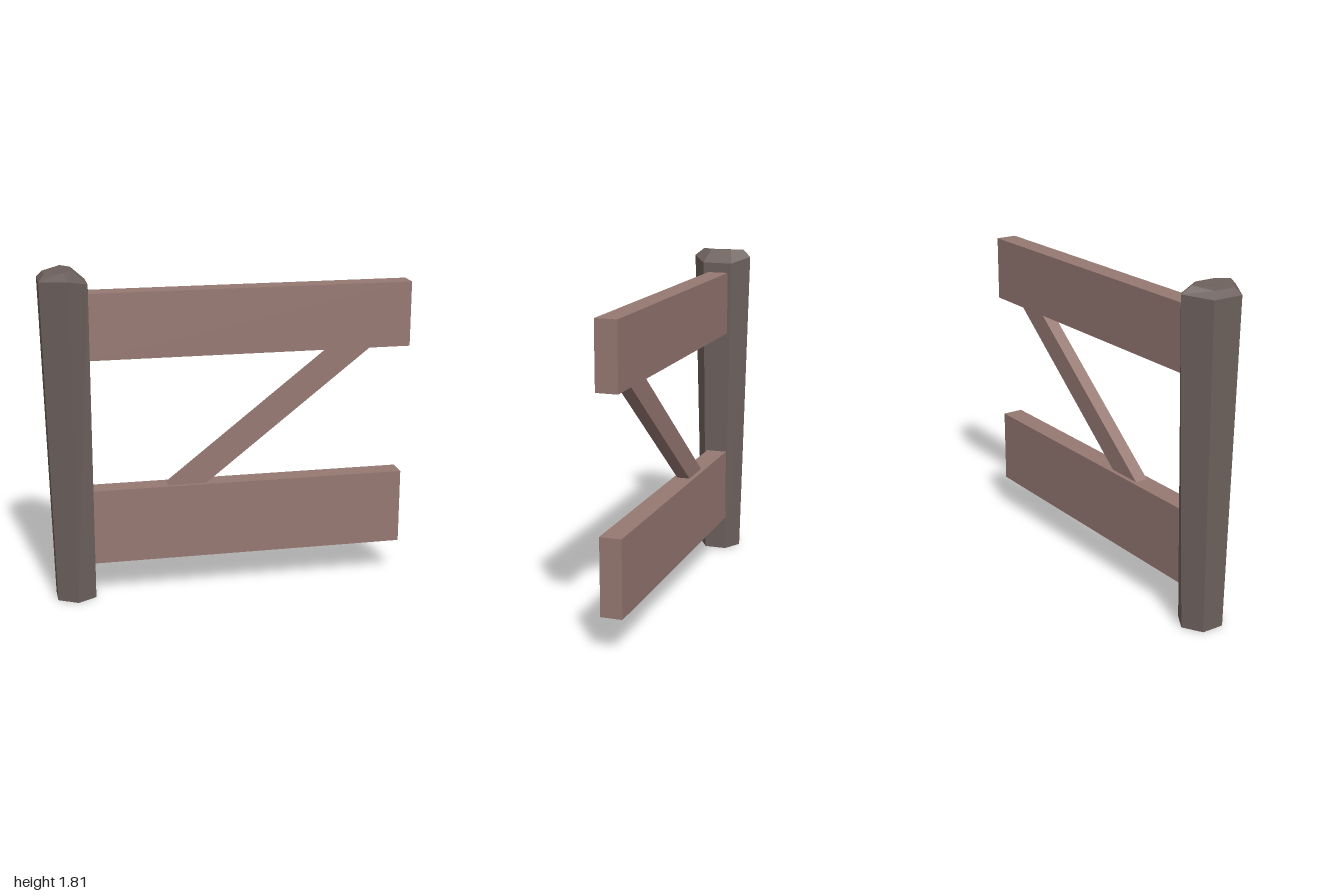
import * as THREE from 'three';

// Six corners of an irregular hexagon: left pair, middle pair, right pair, each [x, y, halfDepth]
function ring(left, mid, right) {
  const at = ([x, y, d], side) => new THREE.Vector3(x, y, d * side);
  return [at(left, 1), at(mid, 1), at(right, 1), at(right, -1), at(mid, -1), at(left, -1)];
}

// Joins rings from bottom to top with quads, then closes the top; the foot stays open
function loft(rings) {
  const pos = [];
  const tri = (...corners) => corners.forEach((v) => pos.push(v.x, v.y, v.z));
  for (let r = 0; r < rings.length - 1; r++) {
    const lo = rings[r], hi = rings[r + 1];
    for (let i = 0; i < 6; i++) {
      const j = (i + 1) % 6;
      tri(lo[i], lo[j], hi[j]);
      tri(lo[i], hi[j], hi[i]);
    }
  }
  const top = rings[rings.length - 1];
  for (let i = 1; i < 5; i++) tri(top[0], top[i], top[i + 1]);
  const geo = new THREE.BufferGeometry();
  geo.setAttribute('position', new THREE.Float32BufferAttribute(pos, 3));
  geo.computeVertexNormals();
  return geo;
}

// Flat board: outline in x and y, centred on z
function board(points, depth, z = 0) {
  const shape = new THREE.Shape(points.map(([x, y]) => new THREE.Vector2(x, y)));
  const geo = new THREE.ExtrudeGeometry(shape, { depth, bevelEnabled: false });
  return geo.translate(0, 0, z - depth / 2);
}

export function createModel() {
  const group = new THREE.Group();
  const darkWood = new THREE.MeshStandardMaterial({ color: 0x6c605c, side: THREE.DoubleSide });
  darkWood.name = 'darkWood';
  const redWood = new THREE.MeshStandardMaterial({ color: 0x967872 });
  redWood.name = 'redWood';

  const add = (name, geo, mat) => {
    const mesh = new THREE.Mesh(geo, mat);
    mesh.name = name;
    group.add(mesh);
  };

  // Post: widens upward, with a chamfered, slightly sloping cap
  add('post', loft([
    ring([-0.96, 0, 0.062], [-0.855, 0, 0.122], [-0.752, 0, 0.062]),
    ring([-1.0, 1.76, 0.085], [-0.855, 1.77, 0.168], [-0.75, 1.74, 0.085]),
    ring([-0.97, 1.795, 0.06], [-0.873, 1.81, 0.12], [-0.825, 1.81, 0.06]),
  ]), darkWood);

  // Rails
  const rail = (name, x1, y0, y1) =>
    add(name, board([[-0.76, y0], [x1, y0], [x1, y1], [-0.76, y1]], 0.117, -0.004), redWood);
  rail('upperRail', 1.0, 1.33, 1.685);
  rail('lowerRail', 0.975, 0.195, 0.61);

  // Diagonal brace between the rails
  add('brace', board([[-0.34, 0.61], [-0.13, 0.61], [0.785, 1.33], [0.575, 1.33]], 0.072, -0.003), redWood);

  return group;
}
